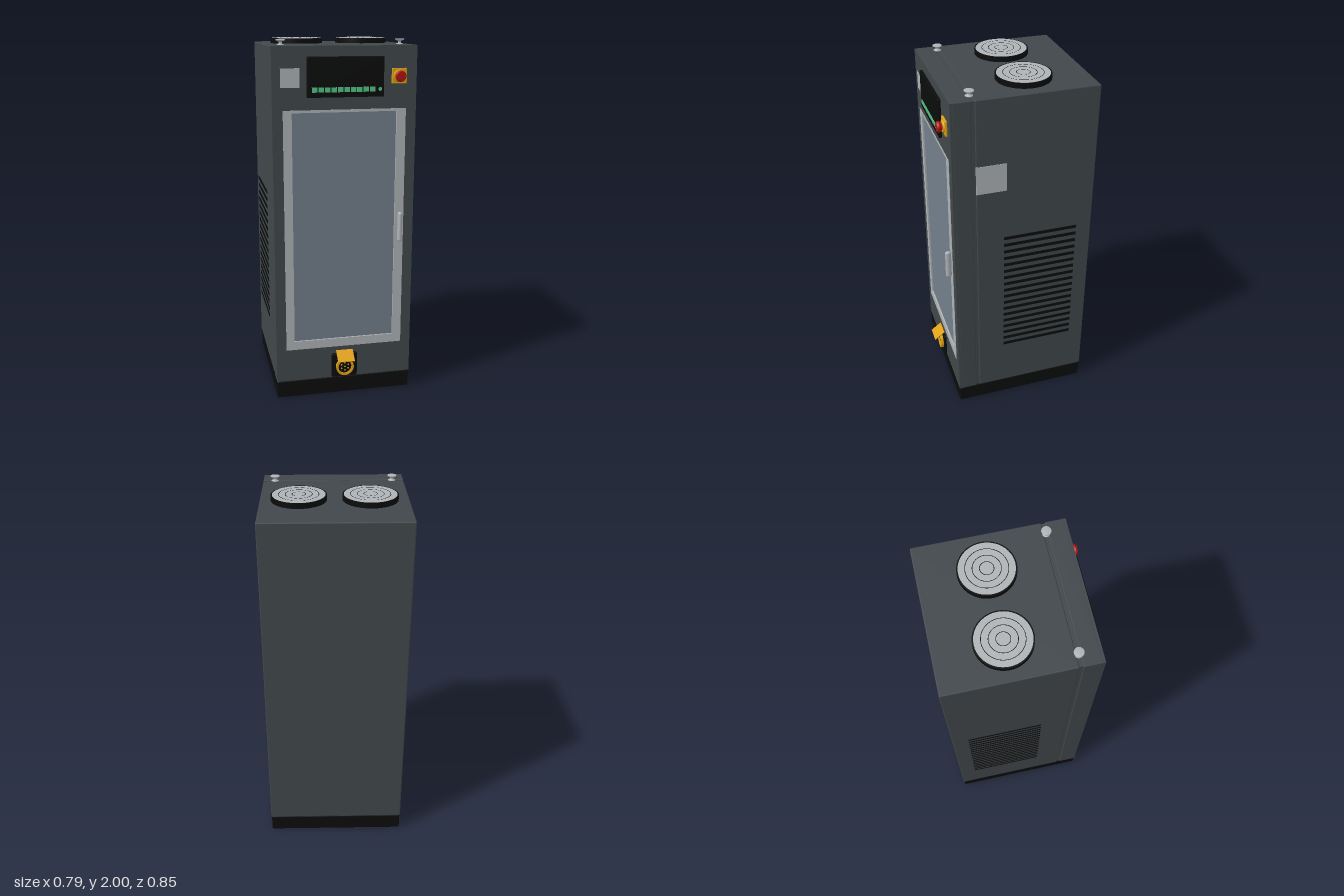
import * as THREE from 'three';
import { RoundedBoxGeometry } from 'three/addons/geometries/RoundedBoxGeometry.js';

const mat = (name, color) => new THREE.MeshStandardMaterial({ name, color });

export function createModel() {
  const root = new THREE.Group();
  root.name = 'cabinet';
  const grey = mat('cabinet grey', 0x41474b);
  const black = mat('black', 0x0b0c0c);
  const silver = mat('light grey', 0xb0b4b7);
  const glass = mat('window blue grey', 0x727f8b);
  const yellow = mat('yellow', 0xe0a012);
  const red = mat('red', 0xb01414);
  const green = mat('green', 0x55c488);

  const add = (name, geo, material, x, y, z, parent = root) => {
    const m = new THREE.Mesh(geo, material);
    m.name = name;
    m.position.set(x, y, z);
    parent.add(m);
    return m;
  };
  // Box given by its limits
  const box = (name, material, x0, x1, y0, y1, z0, z1, r = 0) => {
    const s = [x1 - x0, y1 - y0, z1 - z0];
    const g = r ? new RoundedBoxGeometry(...s, 2, r) : new THREE.BoxGeometry(...s);
    return add(name, g, material, (x0 + x1) / 2, (y0 + y1) / 2, (z0 + z1) / 2);
  };
  // Disc or drum whose axis points forward
  const drum = (name, material, r0, r1, x, y, z0, z1) => {
    const g = new THREE.CylinderGeometry(r1, r0, z1 - z0, 32).rotateX(Math.PI / 2);
    return add(name, g, material, x, y, (z0 + z1) / 2);
  };
  const rect = (C, x0, x1, y0, y1) => new C([[x0, y0], [x1, y0], [x1, y1], [x0, y1]]
    .map(p => new THREE.Vector2(...p)));
  // Flat plate with a rectangular opening
  const framePlate = (name, material, outer, inner, z0, z1) => {
    const s = rect(THREE.Shape, ...outer);
    s.holes.push(rect(THREE.Path, ...inner));
    add(name, new THREE.ExtrudeGeometry(s, { depth: z1 - z0, bevelEnabled: false }), material, 0, 0, z0);
  };

  // Plinth and housing, with a recessed seam behind the front section
  box('plinth', black, -0.387, 0.387, 0, 0.1, -0.421, 0.354, 0.008);
  box('rearHousing', grey, -0.39, 0.39, 0.1, 1.97, -0.425, 0.231, 0.007);
  box('seam', grey, -0.384, 0.384, 0.104, 1.965, 0.22, 0.26);
  box('frontHousing', grey, -0.39, 0.39, 0.1, 1.97, 0.249, 0.344, 0.005);

  // Front panel, window frame and recessed pane
  const opening = [-0.333, 0.333, 0.29, 1.64];
  framePlate('frontPanel', grey, [-0.389, 0.389, 0.101, 1.969], opening, 0.339, 0.355);
  framePlate('windowFrame', silver, opening, [-0.286, 0.282, 0.34, 1.626], 0.341, 0.357);
  box('windowPane', glass, -0.29, 0.29, 0.335, 1.63, 0.34, 0.348);

  // Door handle
  const grip = new THREE.CapsuleGeometry(0.012, 0.146, 6, 16);
  grip.scale(1, 1, 1.4);
  add('doorHandle', grip, silver, 0.308, 0.985, 0.374);
  for (const y of [0.935, 1.035]) drum('handlePost', silver, 0.008, 0.008, 0.308, y, 0.35, 0.375);

  // Control display with a row of keys
  box('display', black, -0.206, 0.206, 1.705, 1.915, 0.35, 0.371, 0.004);
  for (let i = 0; i < 10; i++) {
    const x = -0.167 + i * 0.0345;
    box('displayKey', green, x - 0.0145, x + 0.0145, 1.732, 1.758, 0.369, 0.373);
  }
  drum('displayLamp', green, 0.01, 0.01, 0.185, 1.745, 0.369, 0.373);

  // Labels
  box('frontLabel', silver, -0.344, -0.243, 1.757, 1.857, 0.35, 0.357);
  box('sideLabel', silver, 0.386, 0.392, 1.448, 1.608, 0.067, 0.231);

  // Emergency stop
  box('stopPlate', yellow, 0.25, 0.332, 1.77, 1.852, 0.354, 0.366, 0.004);
  drum('stopCollar', yellow, 0.034, 0.03, 0.291, 1.811, 0.365, 0.373);
  drum('stopStem', red, 0.018, 0.018, 0.291, 1.811, 0.37, 0.386);
  drum('stopRim', red, 0.026, 0.03, 0.291, 1.811, 0.383, 0.391);
  drum('stopCap', red, 0.03, 0.024, 0.291, 1.811, 0.391, 0.401);

  // Charging socket: back plate, ring, pins and hinged flap
  const sy = 0.17;
  box('socketPlate', black, -0.074, 0.074, 0.105, 0.248, 0.35, 0.368, 0.006);
  const ring = new THREE.Shape().absarc(0, 0, 0.051, 0, Math.PI * 2);
  ring.holes.push(new THREE.Path().absarc(0, 0, 0.038, 0, Math.PI * 2));
  add('socketRing', new THREE.ExtrudeGeometry(ring, { depth: 0.02, bevelEnabled: false, curveSegments: 24 }),
    yellow, 0, sy, 0.365);
  drum('socketFace', black, 0.038, 0.038, 0, sy, 0.365, 0.376);
  for (let i = 0; i < 6; i++) {
    const a = i * Math.PI / 3 + Math.PI / 6;
    drum('socketPin', yellow, 0.005, 0.005, 0.022 * Math.cos(a), sy + 0.022 * Math.sin(a), 0.37, 0.378);
  }
  drum('socketCentrePin', yellow, 0.005, 0.005, 0, sy, 0.37, 0.378);
  const flap = add('socketFlap', new THREE.BoxGeometry(0.096, 0.006, 0.076), yellow, 0, 0.243, 0.391);
  flap.rotation.x = 0.66;

  // Side ventilation slots
  for (const s of [-1, 1]) {
    for (let i = 0; i < 18; i++) {
      add('ventSlot', new THREE.BoxGeometry(0.008, 0.018, 0.415), black, s * 0.389, 0.397 + i * 0.0442, -0.128);
    }
  }

  // Roof fans and lifting studs, mirrored
  for (const s of [-1, 1]) {
    const fan = new THREE.Group();
    fan.name = 'roofFan';
    fan.position.set(s * 0.186, 1.965, -0.083);
    root.add(fan);
    add('fanRing', new THREE.CylinderGeometry(0.146, 0.146, 0.033, 48), black, 0, 0.0165, 0, fan);
    add('fanGrille', new THREE.CylinderGeometry(0.139, 0.139, 0.004, 48), silver, 0, 0.032, 0, fan);
    for (const r of [0.035, 0.07, 0.105]) {
      const g = new THREE.RingGeometry(r - 0.0015, r + 0.0015, 48).rotateX(-Math.PI / 2);
      add('fanGap', g, black, 0, 0.0348, 0, fan);
    }
    const stud = [[0, 0], [0.02, 0], [0.02, 0.004], [0.009, 0.008], [0.009, 0.018], [0.025, 0.025], [0.025, 0.03], [0, 0.03]]
      .map(p => new THREE.Vector2(...p));
    add('liftingStud', new THREE.LatheGeometry(stud, 24), silver, s * 0.324, 1.969, 0.241);
  }
  return root;
}
